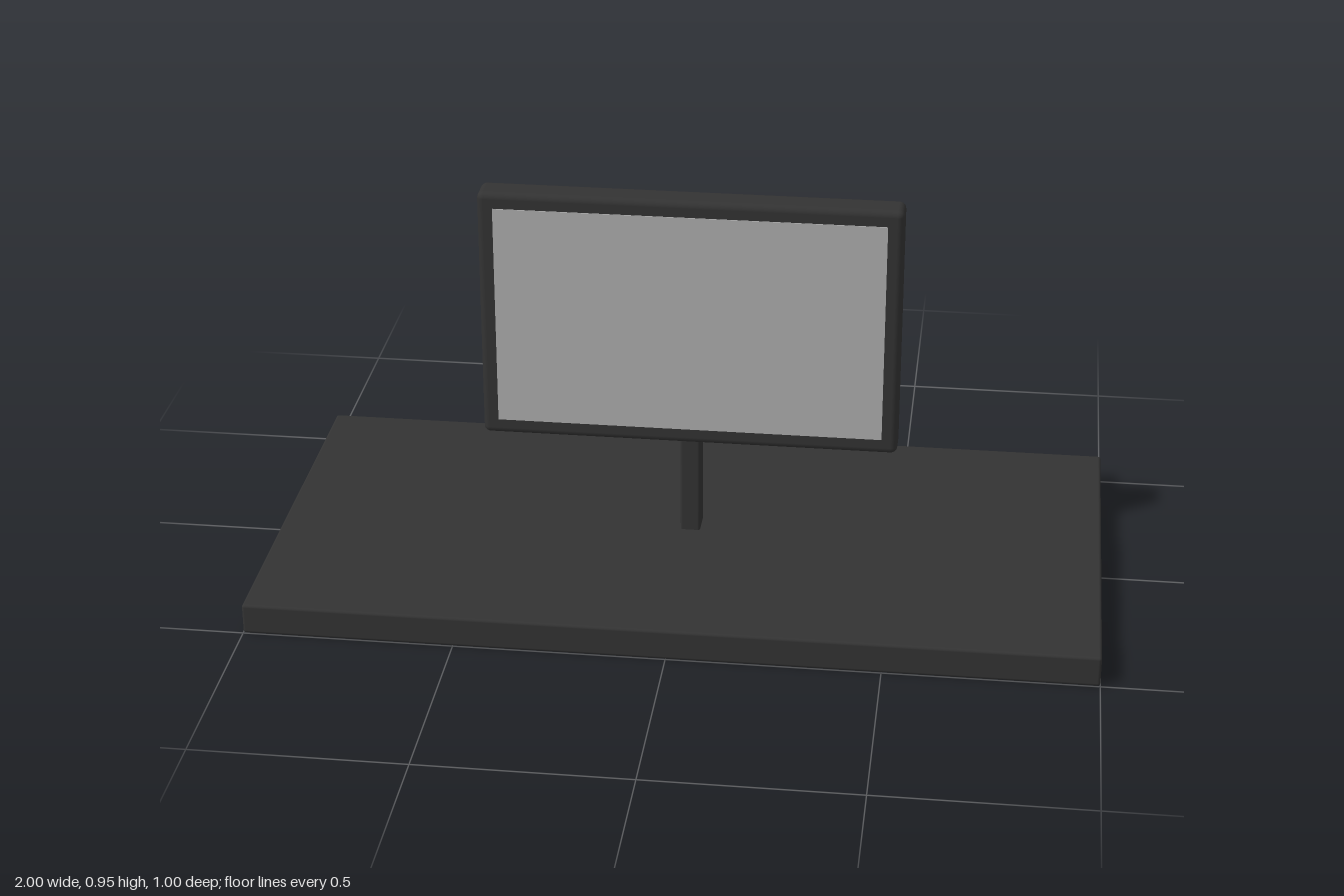
import * as THREE from 'three';
import { RoundedBoxGeometry } from 'three/addons/geometries/RoundedBoxGeometry.js';

export function createModel() {
  const model = new THREE.Group();
  model.name = 'monitorOnBase';

  const darkPlastic = new THREE.MeshStandardMaterial({ color: 0x333333 });
  darkPlastic.name = 'dark plastic';
  const screenGrey = new THREE.MeshStandardMaterial({ color: 0xb0b0b0 });
  screenGrey.name = 'screen grey';

  // Rounded block given by its minimum and maximum corners
  function block(name, min, max, radius) {
    const size = max.map((v, i) => v - min[i]);
    const mesh = new THREE.Mesh(new RoundedBoxGeometry(...size, 3, radius), darkPlastic);
    mesh.position.set(...max.map((v, i) => (v + min[i]) / 2));
    mesh.name = name;
    model.add(mesh);
  }

  block('base', [-1, 0, -0.5], [1, 0.075, 0.5], 0.007);
  block('stand', [-0.024, 0.06, -0.061], [0.024, 0.363, 0.012], 0.006);
  block('housing', [-0.5, 0.326, -0.039], [0.5, 0.953, 0.04], 0.016);

  // Thin display panel on the front of the housing
  const screen = new THREE.Mesh(new THREE.BoxGeometry(0.925, 0.55, 0.004), screenGrey);
  screen.position.set(0, 0.64, 0.04);
  screen.name = 'screen';
  model.add(screen);

  return model;
}
